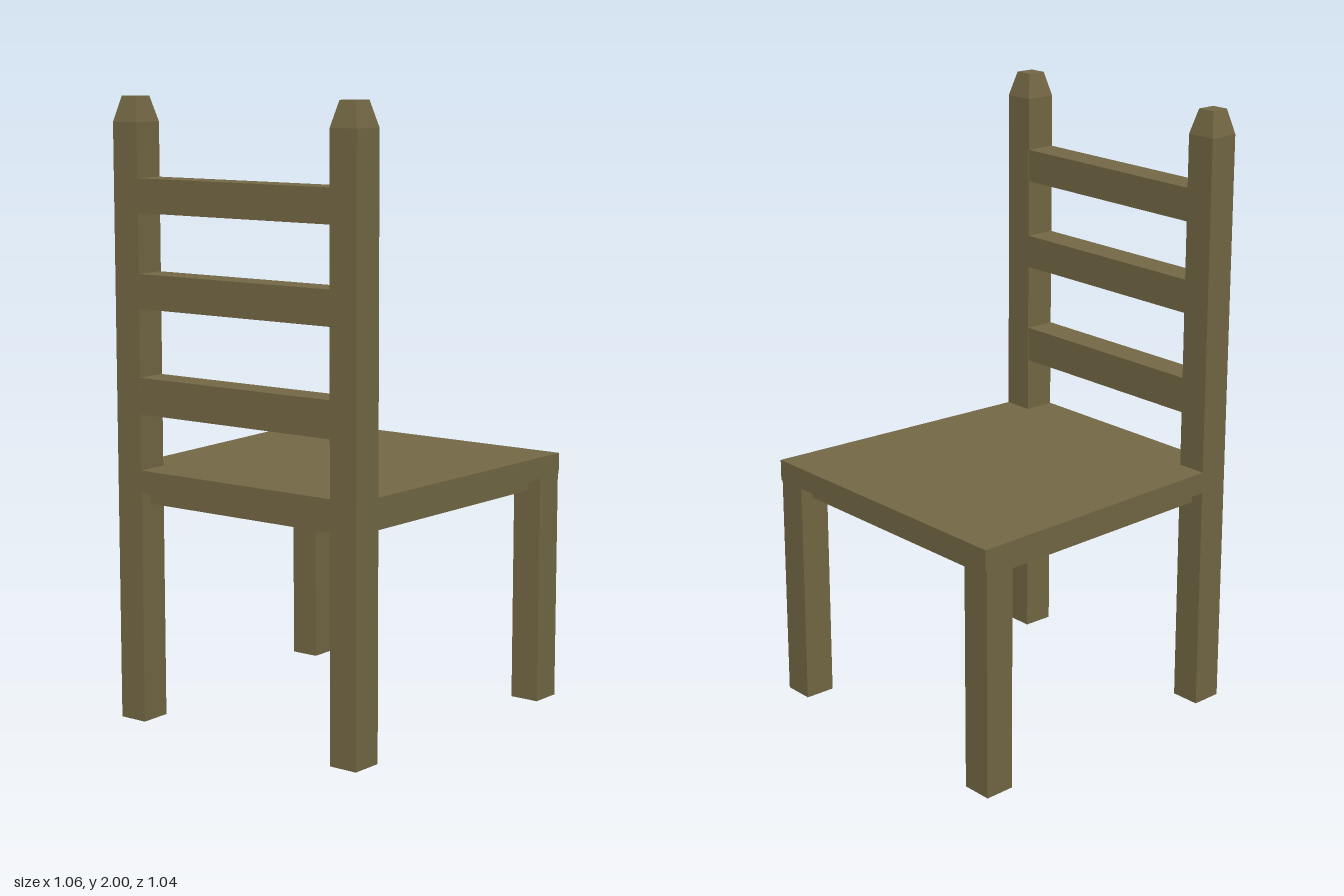
import * as THREE from 'three';

// Half width of the seat at a given x: it widens towards the front edge
const halfWidth = (x) => 0.4955 + 0.0425 * x;

// Box between x0..x1 and y0..y1; zAt(x, s) gives z for side s (0 or 1).
// The top can be drawn in by taper to make a finial.
function block(x0, x1, y0, y1, zAt, taper = 0) {
  const geo = new THREE.BoxGeometry(1, 1, 1);
  const p = geo.attributes.position;
  const midX = (x0 + x1) / 2;
  for (let i = 0; i < p.count; i++) {
    const x = p.getX(i) > 0 ? x1 : x0;
    const top = p.getY(i) > 0;
    const s = p.getZ(i) > 0 ? 1 : 0;
    const z = zAt(x, s);
    const midZ = (zAt(midX, 0) + zAt(midX, 1)) / 2;
    const k = top ? 1 - taper : 1;
    p.setXYZ(i, midX + (x - midX) * k, top ? y1 : y0, midZ + (z - midZ) * k);
  }
  geo.computeVertexNormals();
  return geo;
}

export function createModel() {
  const chair = new THREE.Group();
  chair.name = 'chair';
  const wood = new THREE.MeshStandardMaterial({ color: 0x746945 });
  wood.name = 'olive wood';

  const add = (name, geo) => {
    const mesh = new THREE.Mesh(geo, wood);
    mesh.name = name;
    chair.add(mesh);
  };

  const back = -0.533, postFront = -0.428, front = 0.531;
  const across = (inset) => (x, s) => (s ? 1 : -1) * (halfWidth(x) - inset);

  // Seat board and the inset block beneath it
  add('seat', block(back, front, 0.755, 0.825, across(0)));
  add('seatApron', block(back + 0.045, front - 0.05, 0.71, 0.755, across(0.045)));

  for (const side of [1, -1]) {
    const label = side > 0 ? 'Left' : 'Right';
    // z limits of an upright whose outer face follows the seat edge
    const upright = (inner) => (x, s) =>
      (s === (side > 0 ? 1 : 0)) ? side * halfWidth(x) : side * inner;

    // Front leg
    add('frontLeg' + label, block(0.422, 0.526, 0, 0.756, upright(0.414)));
    // Back leg running up into the post, with a tapered top
    add('backPost' + label, block(back, postFront, 0, 1.92, upright(0.375)));
    add('finial' + label, block(back, postFront, 1.92, 2, upright(0.375), 0.4));
  }

  // Ladder slats between the posts
  for (const [y0, y1] of [[1.005, 1.122], [1.34, 1.45], [1.64, 1.748]]) {
    add('backSlat', block(back + 0.001, postFront - 0.001, y0, y1, (x, s) => (s ? 0.38 : -0.38)));
  }
  return chair;
}
